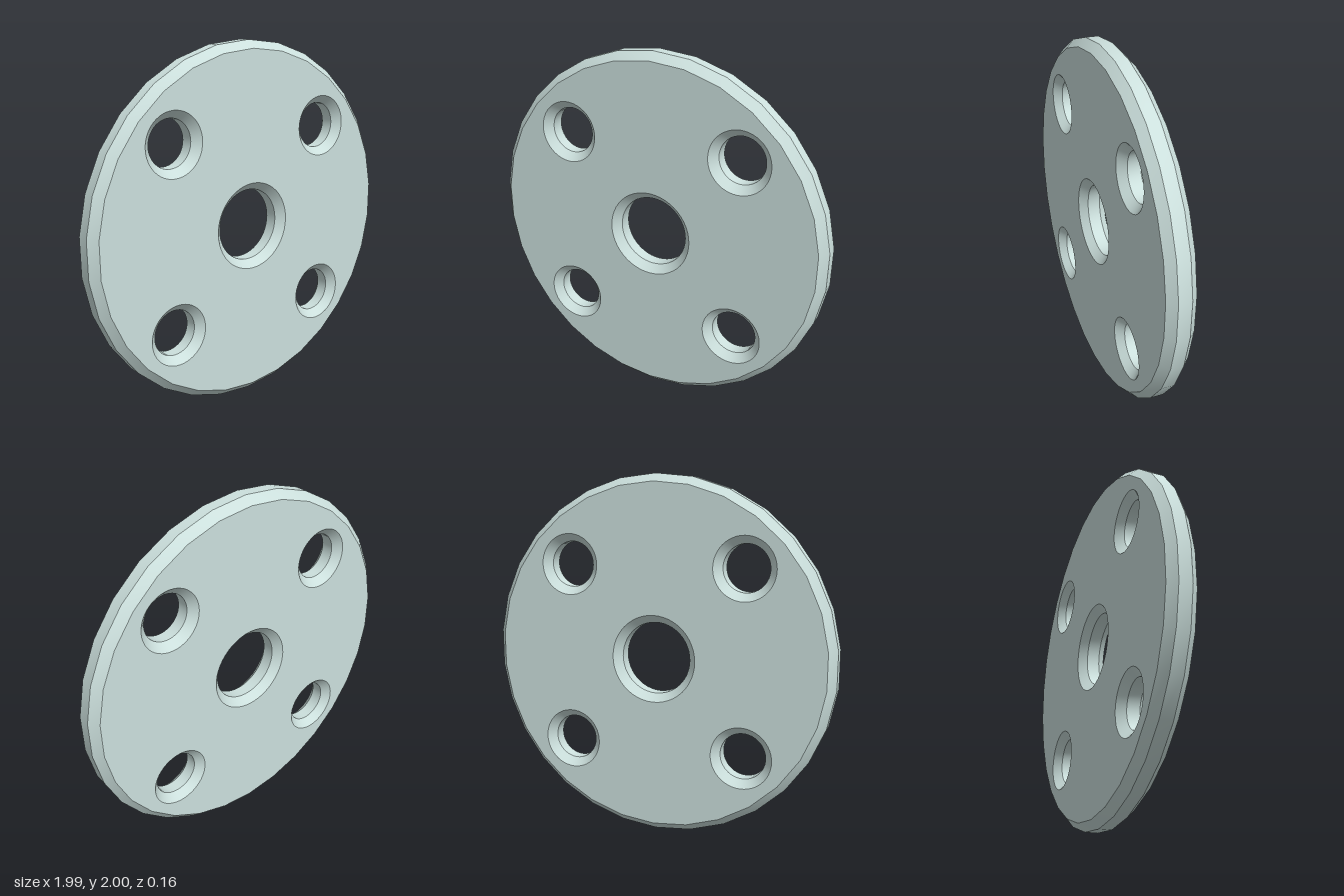
import * as THREE from 'three';
import { toCreasedNormals } from 'three/addons/utils/BufferGeometryUtils.js';

const CHAMFER = 0.043;  // width and depth of every bevelled edge
const BAND = 0.07;      // straight part of the rim between the bevels

// Regular polygon around (x, y) with one corner pointing up
function ring(x, y, radius, sides) {
  return Array.from({ length: sides }, (_, i) => {
    const a = Math.PI / 2 + (i / sides) * Math.PI * 2;
    return new THREE.Vector2(x + radius * Math.cos(a), y + radius * Math.sin(a));
  });
}

export function createModel() {
  const group = new THREE.Group();
  group.name = 'flangeDisc';

  // Face outline: a 30-sided disc; the bevel widens it to a radius of 1
  const shape = new THREE.Shape(ring(0, 0, 1 - CHAMFER / Math.cos(Math.PI / 30), 30));

  // Centre bore and four bolt holes, drawn at their countersunk mouths
  const addHole = (x, y, radius) =>
    shape.holes.push(new THREE.Path(ring(x, y, radius + CHAMFER, 48)));
  addHole(0, 0, 0.2);
  for (const sx of [-1, 1]) {
    for (const sy of [-1, 1]) addHole(sx * 0.508, sy * 0.508, 0.128);
  }

  // The single-step bevel chamfers the rim and all holes on both faces
  const geometry = new THREE.ExtrudeGeometry(shape, {
    depth: BAND,
    bevelEnabled: true,
    bevelThickness: CHAMFER,
    bevelSize: CHAMFER,
    bevelSegments: 1,
  });
  geometry.translate(0, 1, -BAND / 2);

  const disc = new THREE.Mesh(
    toCreasedNormals(geometry, 0.5),
    new THREE.MeshStandardMaterial({ color: 0xcce0dd })
  );
  disc.name = 'chamferedPlate';
  group.add(disc);
  return group;
}
